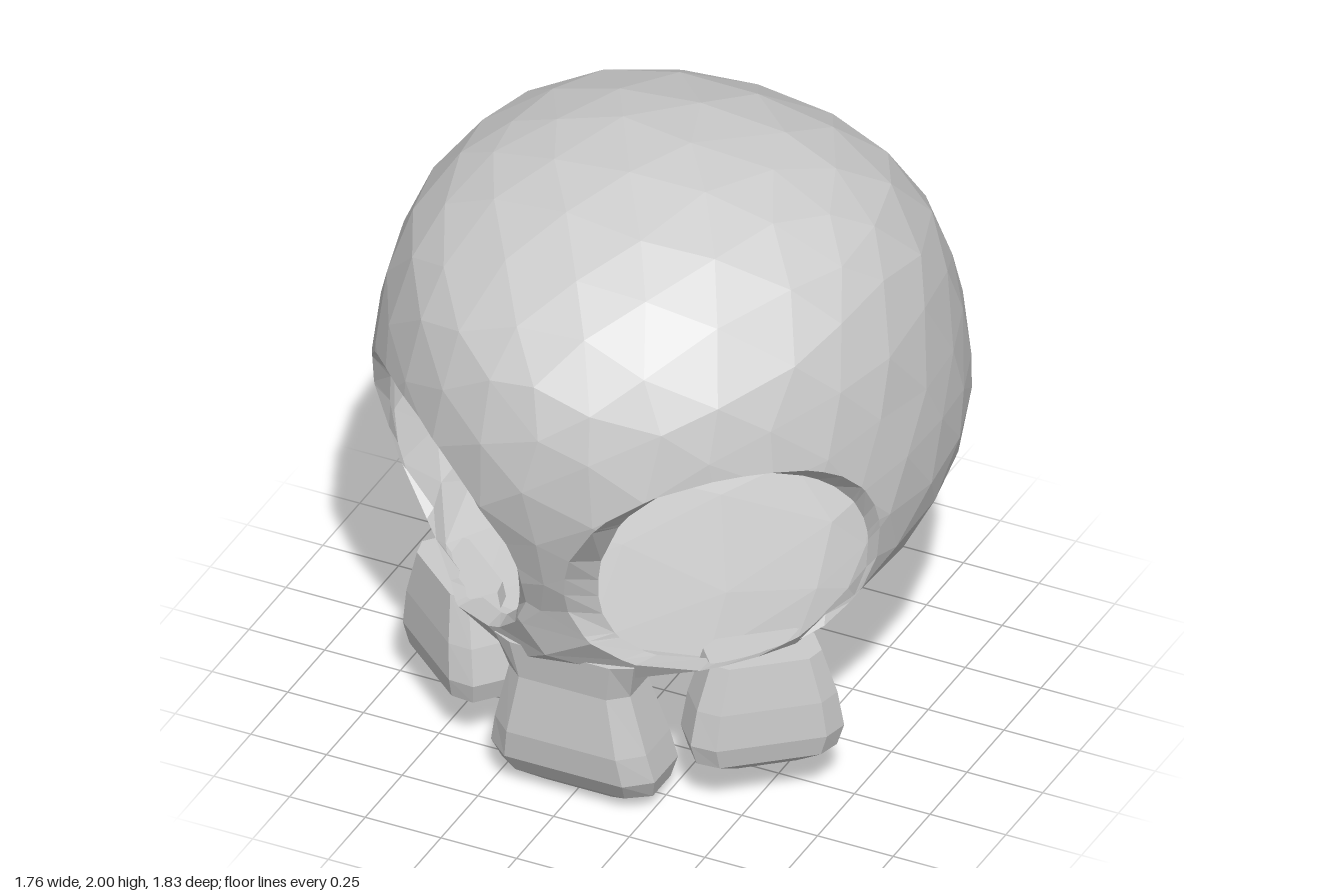
import * as THREE from 'three';

const material = new THREE.MeshStandardMaterial({ color: 0xcccccc, flatShading: true, side: THREE.DoubleSide });
const { lerp, smoothstep } = THREE.MathUtils;

// Mesh from a list of triangles, each three Vector3
function trianglesToMesh(tris, name) {
  const geometry = new THREE.BufferGeometry().setFromPoints(tris.flat());
  geometry.computeVertexNormals();
  const mesh = new THREE.Mesh(geometry, material);
  mesh.name = name;
  return mesh;
}

// Cranium proportions by height: [sine of latitude, cheek side, rear side, front, back]
const PROFILE = [
  [-1, 1.6, 1.6, 2.3, 1.7], [-0.96, 1.5, 1.5, 2.2, 1.6], [-0.89, 1.36, 1.18, 1.51, 1.23],
  [-0.75, 1.07, 1.0, 1.11, 1.04], [-0.55, 0.97, 0.955, 0.94, 0.95], [-0.27, 0.905, 0.905, 0.885, 0.92],
  [0, 0.875, 0.875, 0.915, 0.91], [0.29, 0.87, 0.87, 0.95, 0.91], [0.53, 0.92, 0.92, 0.99, 0.92],
  [0.8, 1, 1, 0.98, 0.95], [1, 1, 1, 1, 1],
];

function profileAt(s) {
  let i = 1;
  while (i < PROFILE.length - 1 && PROFILE[i][0] < s) i++;
  const a = PROFILE[i - 1], b = PROFILE[i];
  const t = (s - a[0]) / (b[0] - a[0]);
  return a.map((v, k) => lerp(v, b[k], t));
}

// Slightly irregular facets
function roughen(p) {
  const q = new THREE.Vector3(Math.sin(p.y * 17 + p.z * 9), Math.sin(p.z * 19 + p.x * 11), Math.sin(p.x * 15 + p.y * 13));
  return p.addScaledVector(q, 0.025).normalize();
}

// Turn a point of the unit sphere into a point of the cranium
function shapeCranium(p) {
  const [, cheek, rear, front, back] = profileAt(p.y);
  const flat = Math.hypot(p.x, p.z) || 1;
  const ahead = smoothstep(p.z, -0.25, 0.35);
  // slightly narrowed towards the brow, fuller at the back
  const corner = 1 + (p.z > 0 ? -0.02 : 0.045) * (2 * p.x * p.z / (flat * flat)) ** 2;
  return new THREE.Vector3(
    p.x * lerp(rear, cheek, ahead) * corner,
    1.15 + p.y * (p.y > 0 ? 0.85 : lerp(0.68, 0.74, ahead)),
    p.z * (p.z > 0 ? front : back) * corner
  );
}

// Eye openings, measured across (u), up (y) and outwards (n)
const BROW = { u: 0.03, y: 0.92, ru: 0.48, ry: 0.4 };
const HOLE = { u: 0.073, y: 0.865, ru: 0.41, ry: 0.365 };
const toEye = (p, side) => ({
  u: 0.79 * p.x * side - 0.61 * p.z,
  n: 0.61 * p.x * side + 0.79 * p.z,
});

function outsideEye(p, side) {
  const { u, n } = toEye(p, side);
  if (n < 0.3) return 1;
  return Math.abs((u - BROW.u) / BROW.ru) ** 2.3 + Math.abs((p.y - BROW.y) / BROW.ry) ** 2.3 - 1;
}

// Move a point of the brow outline to the recessed edge of the hole, which leans forward at the top
function toHole(p, side) {
  const u = HOLE.u + (toEye(p, side).u - BROW.u) / BROW.ru * HOLE.ru;
  const y = HOLE.y + (p.y - BROW.y) / BROW.ry * HOLE.ry;
  const n = 0.66 + 0.17 * (y - HOLE.y);
  return new THREE.Vector3(side * (0.79 * u + 0.61 * n), y, -0.61 * u + 0.79 * n);
}

function crossing(a, b, side) {
  let keep = a.clone(), drop = b.clone();
  if (outsideEye(a, side) < 0) [keep, drop] = [drop, keep];
  for (let i = 0; i < 14; i++) {
    const mid = keep.clone().lerp(drop, 0.5);
    if (outsideEye(mid, side) > 0) keep = mid; else drop = mid;
  }
  return keep;
}

// Cut one eye out of the shell and line the cut with a bevel
function cutEye(tris, side) {
  const shell = [], rim = [];
  for (const tri of tris) {
    const poly = [], cut = [];
    tri.forEach((a, i) => {
      const b = tri[(i + 1) % 3];
      const inA = outsideEye(a, side) > 0, inB = outsideEye(b, side) > 0;
      if (inA) poly.push(a);
      if (inA !== inB) {
        const c = crossing(a, b, side);
        poly.push(c);
        cut.push(c);
      }
    });
    for (let i = 2; i < poly.length; i++) shell.push([poly[0], poly[i - 1], poly[i]]);
    if (cut.length === 2) {
      const [a, b] = cut;
      const c = toHole(a, side), d = toHole(b, side);
      rim.push([a, b, d], [a, d, c]);
    }
  }
  return { shell, rim };
}

// Blocky tooth from chamfered sections: [y, half width, half depth, z shift]
function makeTooth(sections, name) {
  const rings = sections.map(([y, w, d, z]) =>
    [[1, -0.55], [1, 0.55], [0.72, 1], [-0.72, 1], [-1, 0.55], [-1, -0.55], [-0.72, -1], [0.72, -1]]
      .map(([cx, cz]) => new THREE.Vector3(cx * w, y, cz * d + z)));
  const tris = [];
  for (let r = 1; r < rings.length; r++) {
    for (let i = 0; i < 8; i++) {
      const j = (i + 1) % 8, lo = rings[r - 1], hi = rings[r];
      tris.push([lo[i], hi[i], hi[j]], [lo[i], hi[j], lo[j]]);
    }
  }
  const top = rings[rings.length - 1];
  for (let i = 2; i < 8; i++) {
    tris.push([rings[0][0], rings[0][i - 1], rings[0][i]], [top[0], top[i], top[i - 1]]);
  }
  return trianglesToMesh(tris, name);
}

export function createModel() {
  const skull = new THREE.Group();
  skull.name = 'skull';

  // Hollow cranium with two eye openings
  const pos = new THREE.IcosahedronGeometry(1, 4).attributes.position;
  let shell = [];
  for (let i = 0; i < pos.count; i += 3) {
    shell.push([0, 1, 2].map(k => shapeCranium(roughen(new THREE.Vector3().fromBufferAttribute(pos, i + k)))));
  }
  for (const side of [1, -1]) {
    const result = cutEye(shell, side);
    shell = result.shell;
    skull.add(trianglesToMesh(result.rim, side > 0 ? 'leftEyeRim' : 'rightEyeRim'));
  }
  skull.add(trianglesToMesh(shell, 'cranium'));

  // Front tooth, widening upwards into the base of the nose
  skull.add(makeTooth([
    [0, 0.15, 0.04, 0.54], [0.05, 0.25, 0.11, 0.53], [0.12, 0.27, 0.145, 0.54],
    [0.22, 0.25, 0.145, 0.555], [0.42, 0.2, 0.11, 0.58], [0.55, 0.23, 0.07, 0.64],
  ], 'frontTooth'));

  // Side teeth, turned outwards
  for (const side of [1, -1]) {
    const tooth = makeTooth([
      [0.13, 0.13, 0.05, 0], [0.17, 0.215, 0.095, 0], [0.24, 0.235, 0.11, 0],
      [0.36, 0.215, 0.105, 0], [0.51, 0.17, 0.085, 0],
    ], side > 0 ? 'leftTooth' : 'rightTooth');
    tooth.position.set(side * 0.5, 0, 0.36);
    tooth.rotation.y = side * 0.7;
    skull.add(tooth);
  }
  return skull;
}
